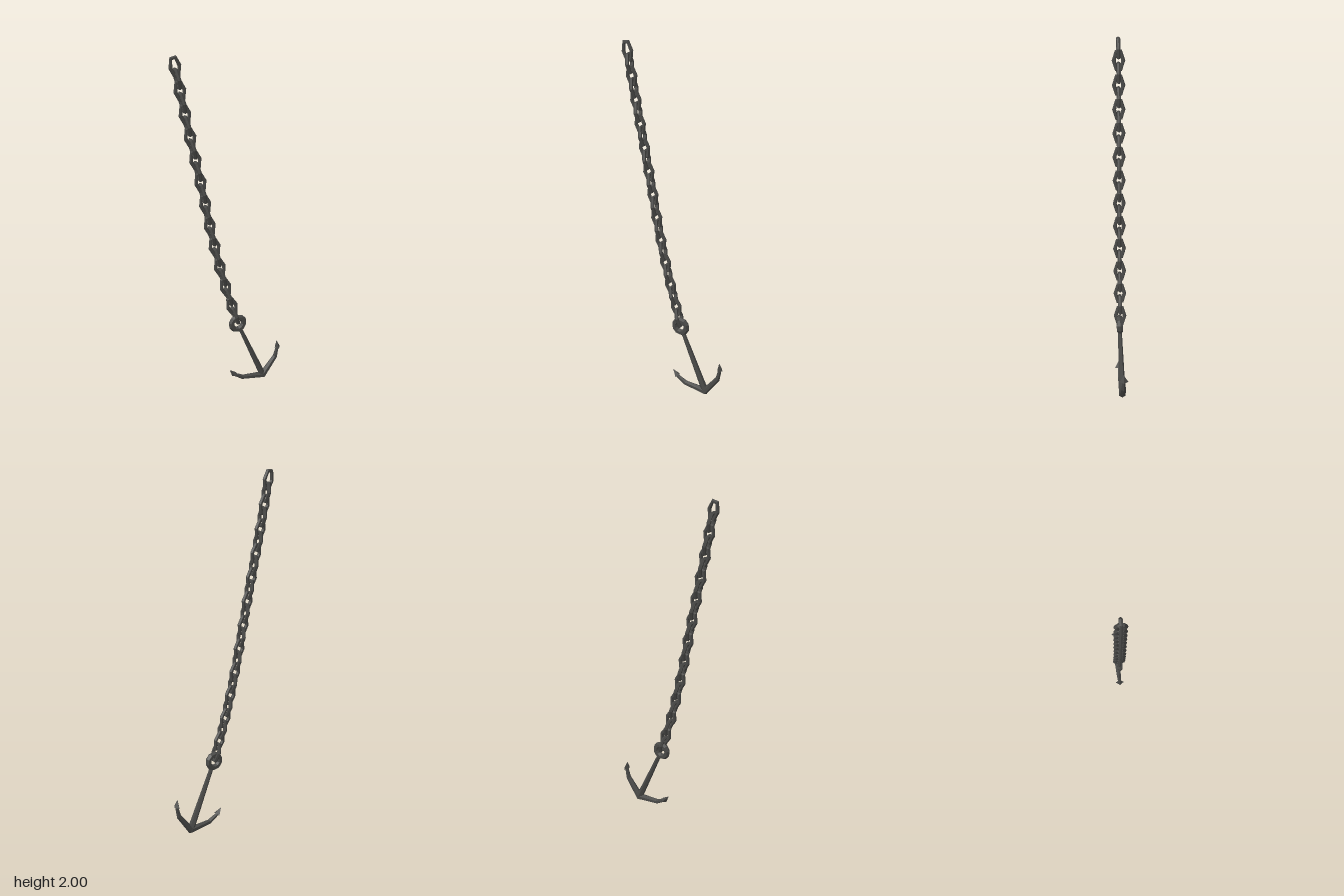
import * as THREE from 'three';

const iron = new THREE.MeshStandardMaterial({ color: 0x484846, flatShading: true });
iron.name = 'darkIron';

function addMesh(parent, name, geometry) {
  const mesh = new THREE.Mesh(geometry, iron);
  mesh.name = name;
  parent.add(mesh);
  return mesh;
}

// Hexagonal link: a six-segment torus pulled apart into a long oval
function linkGeometry() {
  const geo = new THREE.TorusGeometry(0.025, 0.011, 6, 6);
  const pos = geo.attributes.position;
  for (let i = 0; i < pos.count; i++) {
    const y = pos.getY(i);
    if (Math.abs(y) > 0.004) pos.setY(i, y + Math.sign(y) * 0.026);
  }
  return geo;
}

// Tapered bar swept along points [x, y, radius] in the XY plane
function taperedBar(points, sides) {
  const verts = [], index = [];
  points.forEach(([x, y, r], i) => {
    const a = points[Math.max(i - 1, 0)], b = points[Math.min(i + 1, points.length - 1)];
    const t = new THREE.Vector2(b[0] - a[0], b[1] - a[1]).normalize();
    for (let j = 0; j < sides; j++) {
      const ang = (j / sides) * Math.PI * 2;
      const n = Math.cos(ang) * r;
      verts.push(x - t.y * n, y + t.x * n, Math.sin(ang) * r);
    }
    if (i === 0) return;
    for (let j = 0; j < sides; j++) {
      const k = (j + 1) % sides, p = (i - 1) * sides, q = i * sides;
      index.push(p + j, p + k, q + k, p + j, q + k, q + j);
    }
  });
  const geo = new THREE.BufferGeometry();
  geo.setAttribute('position', new THREE.Float32BufferAttribute(verts, 3));
  geo.setIndex(index);
  geo.computeVertexNormals();
  return geo;
}

function createChain() {
  const chain = new THREE.Group();
  chain.name = 'chain';
  const path = new THREE.CatmullRomCurve3([
    [-0.283, 1.944, -0.012], [-0.233, 1.68, -0.009], [-0.155, 1.3, -0.003],
    [-0.076, 0.9, 0.003], [-0.012, 0.64, 0.007], [0.045, 0.45, 0.011],
  ].map((p) => new THREE.Vector3(...p)));
  const geo = linkGeometry();
  const up = new THREE.Vector3(0, 1, 0);
  const count = 24;
  for (let i = 0; i < count; i++) {
    const u = i / (count - 1);
    const link = addMesh(chain, 'chainLink', geo);
    link.position.copy(path.getPointAt(u));
    link.quaternion.setFromUnitVectors(up, path.getTangentAt(u).negate());
    if (i % 2) link.rotateY(Math.PI / 2); // every other link is turned a quarter
  }
  return chain;
}

function createAnchor() {
  const anchor = new THREE.Group();
  anchor.name = 'anchor';

  addMesh(anchor, 'anchorRing', new THREE.TorusGeometry(0.038, 0.017, 6, 10)).position.y = 0.41;
  addMesh(anchor, 'shank', new THREE.CylinderGeometry(0.011, 0.019, 0.37, 6)).position.y = 0.185;

  // Both arms in one bar through the crown
  const arm = [[0.112, 0.064, 0.014], [0.145, 0.108, 0.01], [0.156, 0.135, 0.007]];
  const left = arm.map(([x, y, r]) => [-x, y, r]).reverse();
  addMesh(anchor, 'arms', taperedBar([...left, [0, 0, 0.021], ...arm], 6));

  // Pointed flukes at the arm tips
  for (const side of [-1, 1]) {
    const fluke = addMesh(anchor, 'fluke', new THREE.ConeGeometry(0.025, 0.045, 4));
    fluke.scale.x = 0.65;
    fluke.position.set(side * 0.155, 0.135, 0);
    fluke.rotation.z = -side * 0.3;
  }

  anchor.position.set(0.22, 0.022, 0.015);
  anchor.rotation.z = 0.405;
  return anchor;
}

export function createModel() {
  const model = new THREE.Group();
  model.name = 'anchorOnChain';
  model.add(createChain(), createAnchor());
  return model;
}
